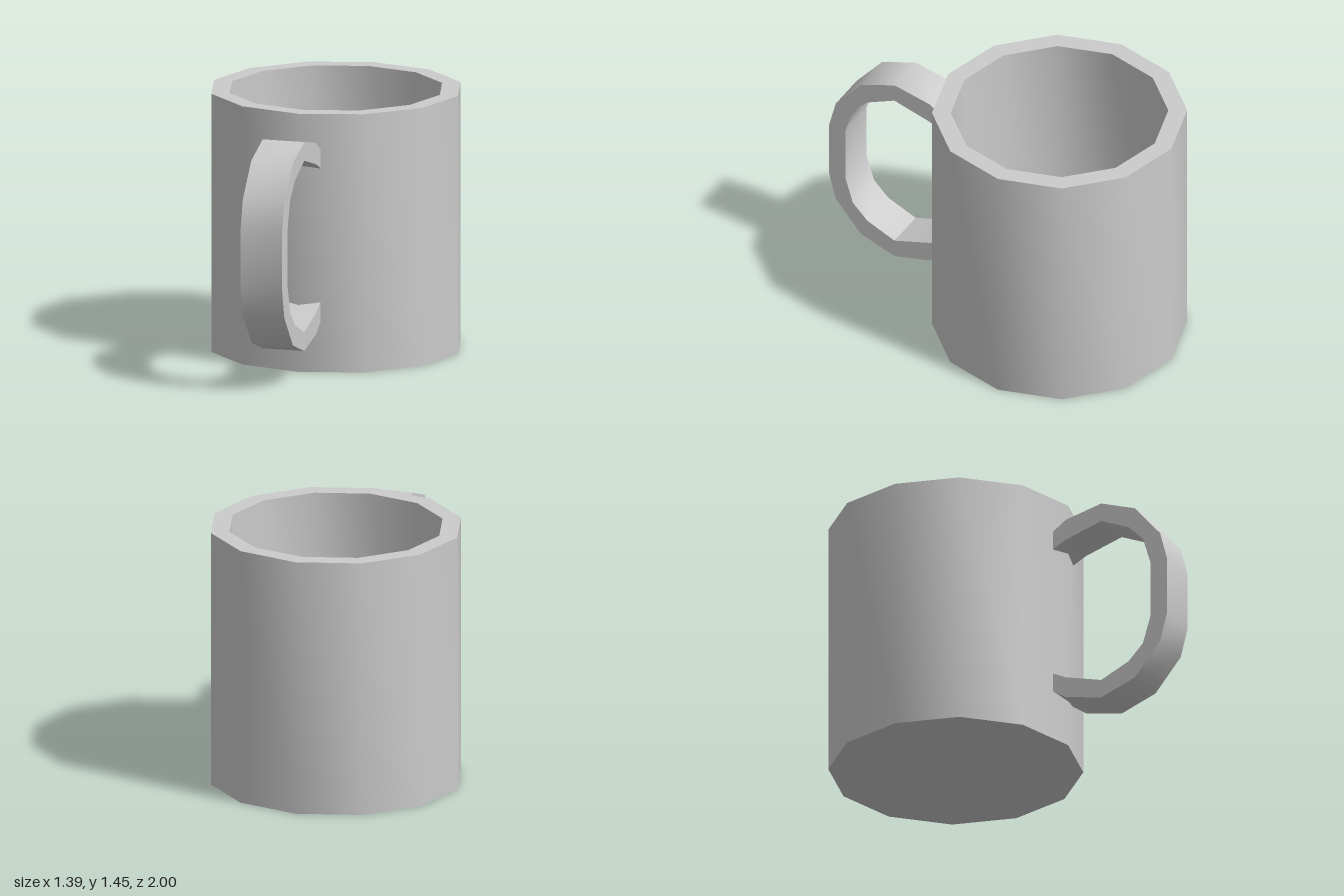
import * as THREE from 'three';
import { toCreasedNormals } from 'three/addons/utils/BufferGeometryUtils.js';

const CREASE = THREE.MathUtils.degToRad(40);
const TURN = THREE.MathUtils.degToRad(24); // handle direction, measured from +z

const HEIGHT = 1.445, OUTER = 0.698, INNER = 0.595, FLOOR = 0.1;
const HANDLE_WIDTH = 0.238, HANDLE_MID = 0.765, HANDLE_START = 0.667;

// Upper half of the handle outline: [distance from the wall, height]
const outerEdge = [[0, 1.245], [0.08, 1.30], [0.30, 1.35], [0.51, 1.275], [0.667, 1.09], [0.71, 0.925]];
const innerEdge = [[0, 1.14], [0.08, 1.18], [0.30, 1.245], [0.47, 1.17], [0.56, 1.08], [0.607, 0.925]];

// Adds the mirrored lower half to an upper half
function mirrored(half) {
  return [...half, ...half.map(([t, y]) => [t, 2 * HANDLE_MID - y]).reverse()];
}

// Twelve-sided hollow cup with a thick wall and floor
function bodyGeometry() {
  const profile = [
    [0, 0], [OUTER, 0], [OUTER, HEIGHT], [INNER, HEIGHT], [INNER, FLOOR], [0, FLOOR],
  ].map(([r, y]) => new THREE.Vector2(r, y));
  return toCreasedNormals(new THREE.LatheGeometry(profile, 12), CREASE);
}

// C-shaped band, extruded across its width
function handleGeometry() {
  const outline = [...mirrored(outerEdge), ...mirrored(innerEdge).reverse()];
  const shape = new THREE.Shape(outline.map(([t, y]) => new THREE.Vector2(t + HANDLE_START, y)));
  const geometry = new THREE.ExtrudeGeometry(shape, { depth: HANDLE_WIDTH, bevelEnabled: false });
  geometry.translate(0, 0, -HANDLE_WIDTH / 2);
  geometry.rotateY(-Math.PI / 2); // point the band along +z
  return toCreasedNormals(geometry, CREASE);
}

export function createModel() {
  const ceramic = new THREE.MeshStandardMaterial({ color: 0xcccccc });
  ceramic.name = 'ceramic grey';

  const body = new THREE.Mesh(bodyGeometry(), ceramic);
  body.name = 'cupBody';

  const handle = new THREE.Mesh(handleGeometry(), ceramic);
  handle.name = 'handle';

  const mug = new THREE.Group();
  mug.name = 'mug';
  mug.add(body, handle);
  mug.rotation.y = TURN;
  mug.position.z = -0.305;

  const model = new THREE.Group();
  model.add(mug);
  return model;
}
